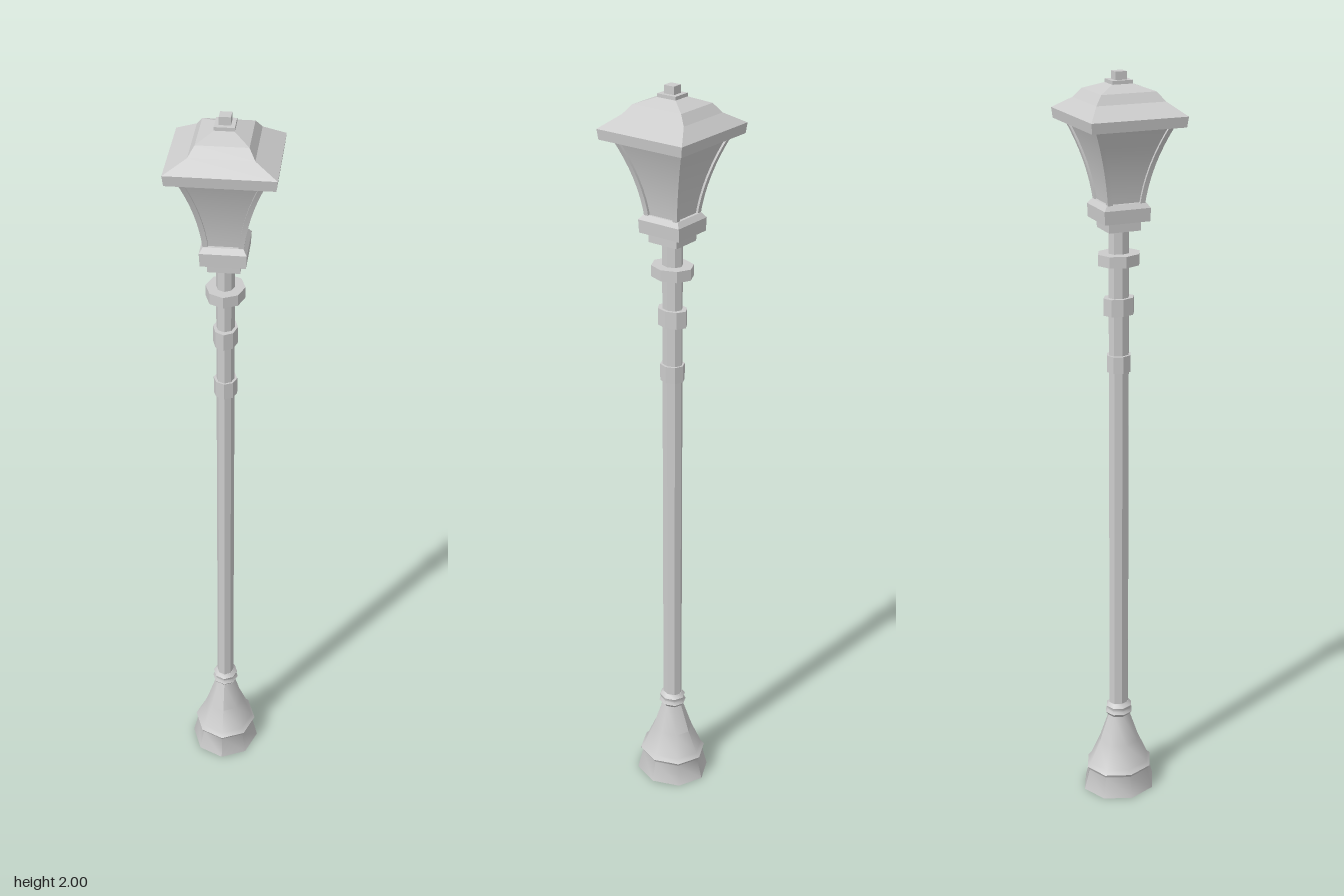
import * as THREE from 'three';
import { toCreasedNormals } from 'three/addons/utils/BufferGeometryUtils.js';

const material = new THREE.MeshStandardMaterial({ color: 0xcccccc });

function add(group, name, geometry, crease) {
  const mesh = new THREE.Mesh(toCreasedNormals(geometry, crease), material);
  mesh.name = name;
  group.add(mesh);
  return mesh;
}

// Closed solid from levels [halfX, halfZ, y], bottom to top, with a polygonal section
function loft(levels, sides) {
  const first = levels[0], last = levels[levels.length - 1];
  const rows = [[0, 0, first[2]], ...levels, [0, 0, last[2]]];
  const square = sides === 4;
  const k = square ? Math.SQRT2 : 1;
  const points = rows.map(([x, , y]) => new THREE.Vector2(x * k, y));
  const geometry = new THREE.LatheGeometry(points, sides, square ? Math.PI / 4 : 0);
  const p = geometry.attributes.position;
  for (let i = 0; i < p.count; i++) {
    const [hx, hz] = rows[i % rows.length];
    if (hx > 0) p.setZ(i, p.getZ(i) * hz / hx);
  }
  return geometry;
}

// Concave flare of the lantern: half width at height y
const Y0 = 1.675, Y1 = 1.88;
function flare(y) {
  const t = (y - Y0) / (Y1 - Y0);
  return 0.048 + 0.02 * t + 0.036 * t * t;
}

export function createModel() {
  const model = new THREE.Group();
  model.name = 'streetLamp';

  // Flared foot with a moulded skirt
  add(model, 'foot', loft([
    [0.095, 0.105, 0], [0.081, 0.09, 0.06], [0.087, 0.096, 0.07], [0.078, 0.086, 0.082],
    [0.052, 0.058, 0.145], [0.027, 0.031, 0.225],
  ], 8), 0.8);
  add(model, 'footCollar', loft([
    [0.027, 0.03, 0.225], [0.036, 0.039, 0.236], [0.031, 0.034, 0.245],
    [0.034, 0.037, 0.255], [0.024, 0.029, 0.265],
  ], 8), 0.8);

  // Post and its bands
  add(model, 'post', loft([[0.023, 0.028, 0.22], [0.023, 0.028, 1.63]], 8), 0.1);
  const bands = [
    ['lowerBand', 0.03, 0.033, 1.24, 1.285],
    ['middleBand', 0.031, 0.042, 1.392, 1.437],
    ['upperDisc', 0.049, 0.057, 1.523, 1.552],
  ];
  for (const [name, hx, hz, a, b] of bands) {
    add(model, name, loft([[hx, hz, a], [hx, hz, b]], 8), 0.1);
  }

  // Stepped lantern seat
  add(model, 'lanternSeat', loft([
    [0.04, 0.043, 1.613], [0.04, 0.043, 1.638], [0.055, 0.061, 1.638],
    [0.057, 0.062, 1.672], [0.048, 0.052, 1.685],
  ], 4), 0.1);

  // Curved panes, set slightly inside the corner ribs
  const panes = [];
  for (let i = 0; i <= 8; i++) {
    const y = Y0 + (Y1 - Y0) * i / 8, w = flare(y) - 0.007;
    panes.push([w, w + 0.002, y]);
  }
  add(model, 'lanternPanes', loft(panes, 4), 0.5);

  // Four ribs following the flare
  const ribSize = 0.013;
  for (const sx of [-1, 1]) for (const sz of [-1, 1]) {
    const rib = new THREE.BoxGeometry(ribSize, Y1 - Y0, ribSize, 1, 8, 1);
    rib.translate(0, (Y0 + Y1) / 2, 0);
    const p = rib.attributes.position;
    for (let i = 0; i < p.count; i++) {
      const w = flare(p.getY(i)) - ribSize / 2;
      p.setX(i, p.getX(i) + sx * w);
      p.setZ(i, p.getZ(i) + sz * (w + 0.001));
    }
    add(model, 'lanternRib', rib, 0.5);
  }

  // Stepped hipped roof and finial
  add(model, 'roof', loft([
    [0.128, 0.123, 1.876], [0.131, 0.126, 1.902], [0.077, 0.091, 1.932],
    [0.062, 0.072, 1.955], [0.022, 0.025, 1.972],
  ], 4), 0.1);
  add(model, 'finialBase', loft([[0.024, 0.027, 1.965], [0.024, 0.027, 1.98]], 4), 0.1);
  add(model, 'finial', loft([[0.014, 0.015, 1.98], [0.014, 0.015, 2]], 4), 0.1);

  return model;
}
